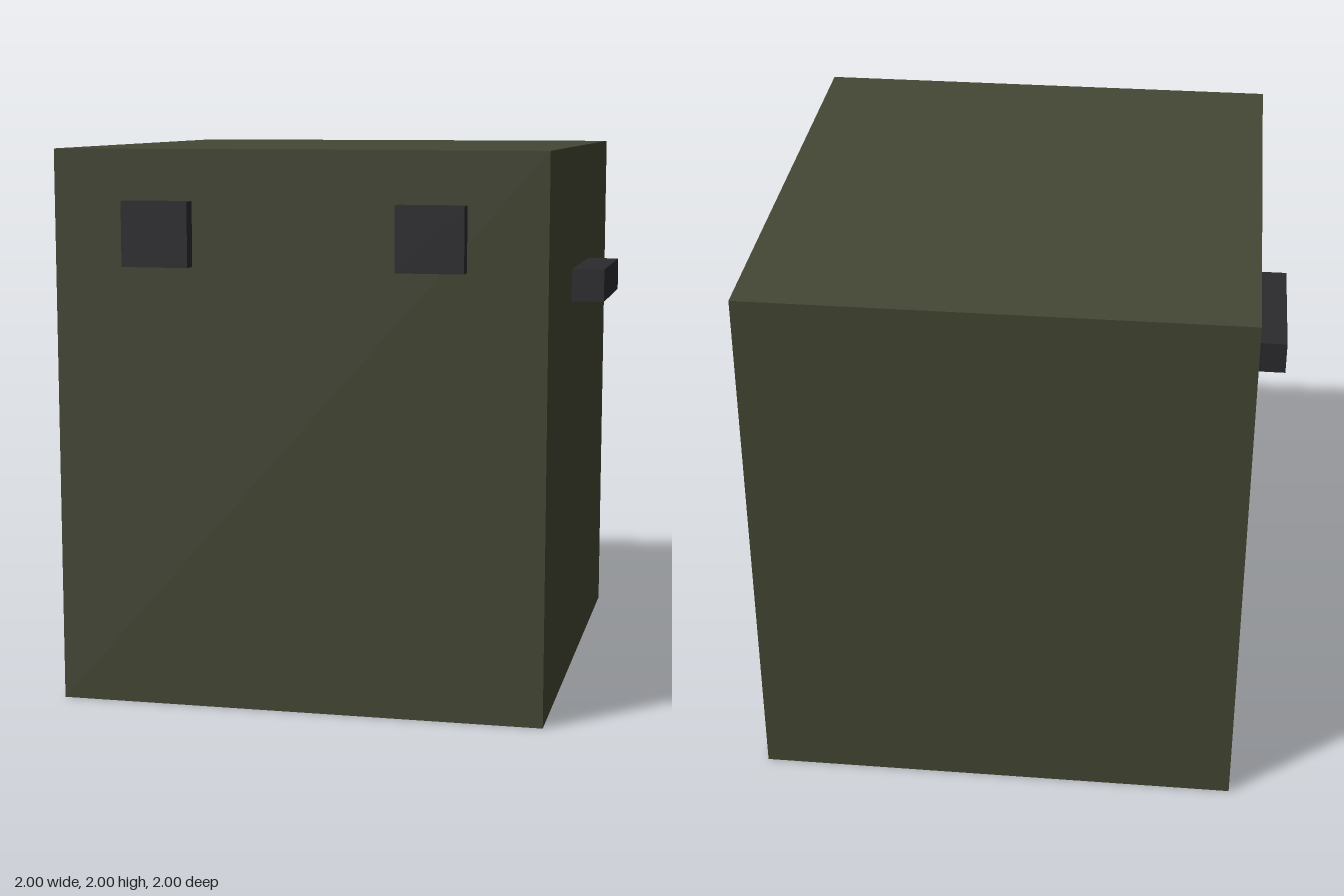
import * as THREE from 'three';

const green = new THREE.MeshStandardMaterial({ color: 0x444834 });
const dark = new THREE.MeshStandardMaterial({ color: 0x2b2a2d });

// Box given by its lower and upper corners
function box(name, material, min, max) {
  const size = max.map((v, i) => v - min[i]);
  const mesh = new THREE.Mesh(new THREE.BoxGeometry(...size), material);
  mesh.position.set(...max.map((v, i) => (v + min[i]) / 2));
  mesh.name = name;
  return mesh;
}

export function createModel() {
  const group = new THREE.Group();
  group.name = 'crate';

  // Main case
  group.add(box('body', green, [-0.88, 0, -1], [0.88, 2, 0.94]));

  // Front latches, set slightly unevenly
  group.add(box('rightLatch', dark, [-0.615, 1.59, 0.92], [-0.375, 1.82, 1]));
  group.add(box('leftLatch', dark, [0.36, 1.585, 0.92], [0.6, 1.815, 1]));

  // Side handles
  for (const [name, x] of [['rightHandle', -0.93], ['leftHandle', 0.93]]) {
    group.add(box(name, dark, [x - 0.07, 1.43, -0.31], [x + 0.07, 1.55, 0.25]));
  }

  return group;
}
